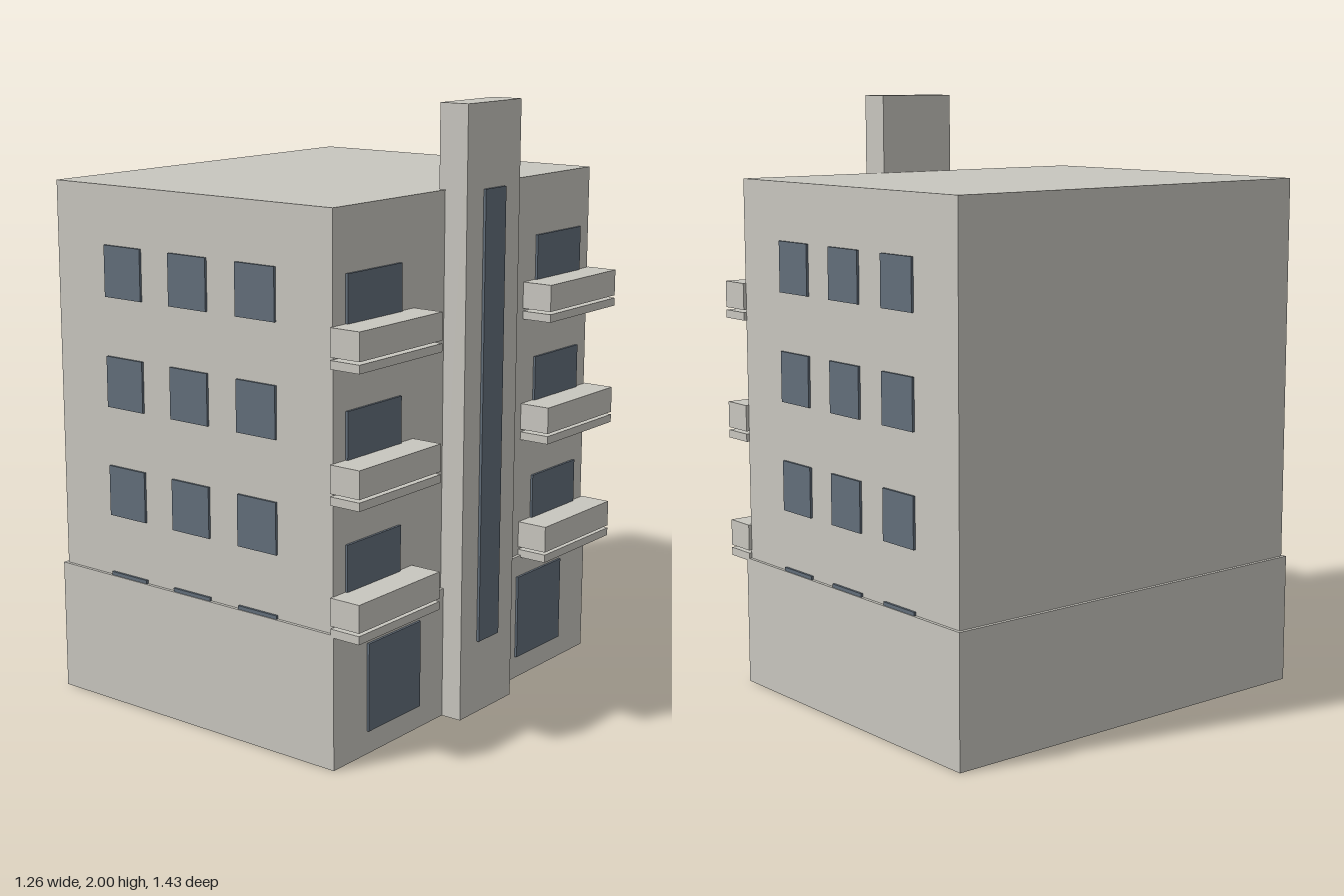
import * as THREE from 'three';

export function createModel() {
  const model = new THREE.Group();
  model.name = 'apartmentBlock';

  const wall = new THREE.MeshStandardMaterial({ color: 0xc8c6bf });
  wall.name = 'concrete';
  const glass = new THREE.MeshStandardMaterial({ color: 0x626e7a });
  glass.name = 'blueGreyGlass';

  // Box given by its extents on each axis
  function block(name, material, [x0, x1], [y0, y1], [z0, z1]) {
    const mesh = new THREE.Mesh(new THREE.BoxGeometry(x1 - x0, y1 - y0, z1 - z0), material);
    mesh.position.set((x0 + x1) / 2, (y0 + y1) / 2, (z0 + z1) / 2);
    mesh.name = name;
    model.add(mesh);
  }

  // Same span mirrored across z = 0 when side is -1
  const mirror = (side, a, b) => (side > 0 ? [a, b] : [-b, -a]);

  // Main volumes
  block('groundFloor', wall, [-0.635, 0.533], [0, 0.438], [-0.717, 0.717]);
  block('upperFloors', wall, [-0.623, 0.522], [0.438, 1.732], [-0.706, 0.706]);
  block('stairTower', wall, [0.5, 0.605], [0, 2], [-0.145, 0.148]);
  block('stairTowerWindow', glass, [0.605, 0.614], [0.248, 1.732], [-0.055, 0.058]);

  for (const side of [1, -1]) {
    // Window grid on front and back; the lowest row only peeks above the ground floor
    for (const x of [-0.408, -0.13, 0.147]) {
      for (const y of [0.438, 0.645, 1.01, 1.372]) {
        const top = y < 0.5 ? 0.45 : y + 0.168;
        block('facadeWindow', glass, [x, x + 0.157], [y, top], mirror(side, 0.705, 0.714));
      }
    }

    // Shop windows beside the stair tower
    block('groundWindow', glass, [0.532, 0.541], [0.077, 0.366], mirror(side, 0.282, 0.551));

    // Balconies: thin slab, slightly separated parapet, window behind
    for (let floor = 0; floor < 3; floor++) {
      const y = 0.43 + floor * 0.414;
      const z = mirror(side, 0.306, 0.717);
      block('balconySlab', wall, [0.52, 0.63], [y, y + 0.027], z);
      block('balconyParapet', wall, [0.52, 0.63], [y + 0.036, y + 0.125], z);
      block('balconyWindow', glass, [0.521, 0.53], [y + 0.027, y + 0.275], mirror(side, 0.377, 0.645));
    }
  }

  return model;
}
